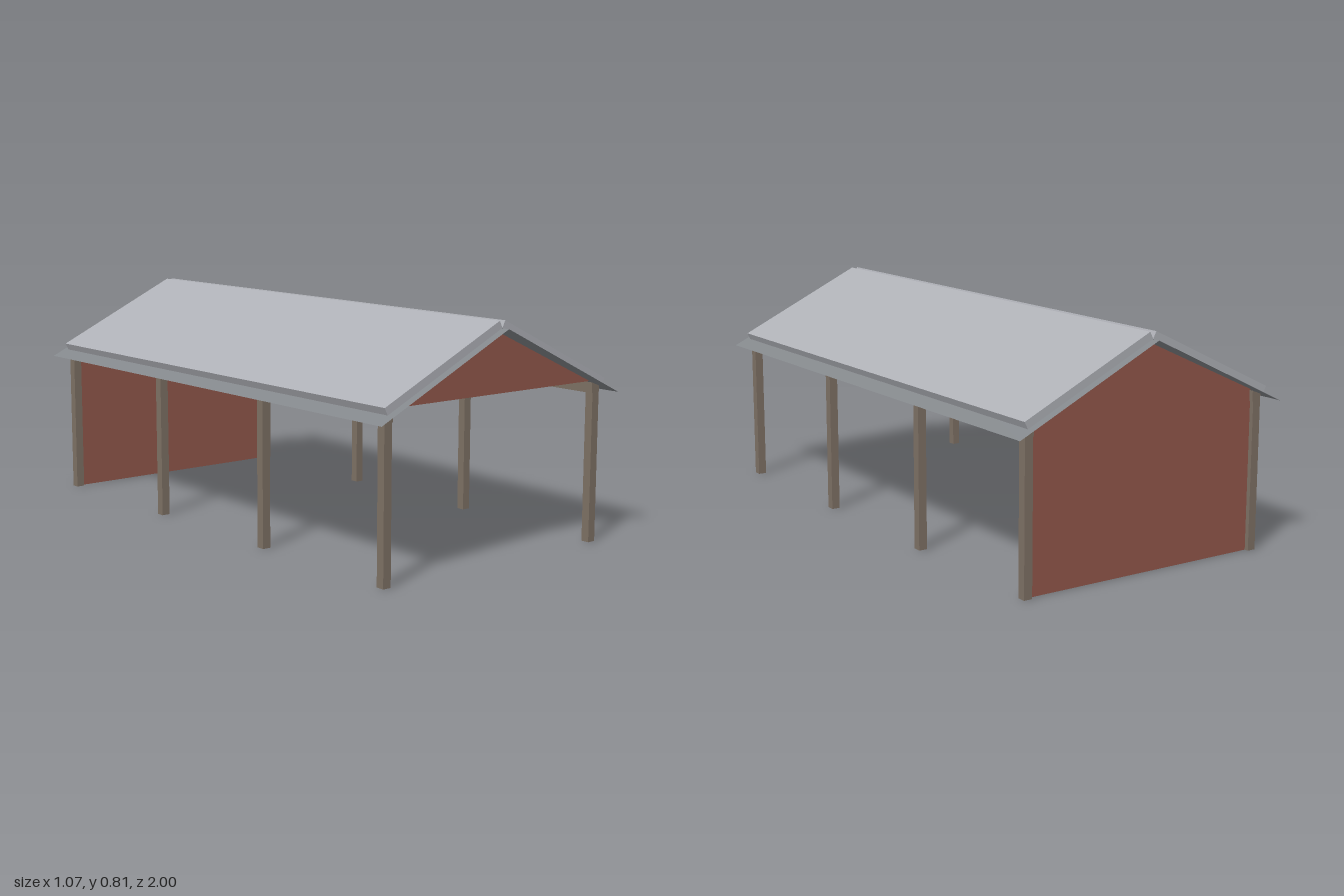
import * as THREE from 'three';

export function createModel() {
  const group = new THREE.Group();
  const mat = (color, side = THREE.FrontSide) =>
    new THREE.MeshStandardMaterial({ color, side });
  const timber = mat(0x7d7064);
  const panelGrey = mat(0xaeb0b6);
  const sheetGrey = mat(0x83878b, THREE.DoubleSide);
  const brickRed = mat(0x91574b, THREE.DoubleSide);

  const ridgeY = 0.783, slope = 0.4785;
  const roofY = (x) => ridgeY - slope * x;
  const postX = 0.47, endZ = 0.94, postSize = 0.031;

  const add = (name, geometry, material) => {
    const mesh = new THREE.Mesh(geometry, material);
    mesh.name = name;
    group.add(mesh);
    return mesh;
  };
  const outline = (points) => new THREE.Shape(points.map(([x, y]) => new THREE.Vector2(x, y)));
  // Cross-section in x/y, run along z and centred on z = 0
  const prism = (points, length) =>
    new THREE.ExtrudeGeometry(outline(points), { depth: length, bevelEnabled: false })
      .translate(0, 0, -length / 2);

  const angle = Math.atan(slope);
  const eaveX = 0.535, slabX = 0.485, slabThickness = 0.028;
  const nx = Math.sin(angle) * slabThickness, ny = Math.cos(angle) * slabThickness;
  const lift = 0.001;

  for (const s of [1, -1]) {
    const side = s > 0 ? 'left' : 'right';

    // Thin roof sheet, overhanging on all outer sides
    const sheet = add(`${side}RoofSheet`,
      new THREE.PlaneGeometry(eaveX / Math.cos(angle), 2).rotateX(-Math.PI / 2), sheetGrey);
    sheet.rotation.z = -s * angle;
    sheet.position.set(s * eaveX / 2, roofY(eaveX / 2), 0);

    // Thick roof panel lying on the sheet
    add(`${side}RoofPanel`, prism([
      [0, ridgeY + lift],
      [s * slabX, roofY(slabX) + lift],
      [s * (slabX + nx), roofY(slabX) + ny],
      [s * nx, ridgeY + ny],
    ], 1.94), panelGrey);

    // Eave beam with its top cut to the roof slope
    const inner = 0.451, outer = 0.486;
    add(`${side}EaveBeam`, prism([
      [s * inner, 0.525], [s * outer, 0.525],
      [s * outer, roofY(outer) - 0.002], [s * inner, roofY(inner) - 0.005],
    ], 2 * endZ + postSize), timber);

    // Four posts along each side
    for (let i = 0; i < 4; i++) {
      add(`${side}Post${i + 1}`, new THREE.BoxGeometry(postSize, 0.54, postSize), timber)
        .position.set(s * postX, 0.27, endZ - i * (2 * endZ / 3));
    }
  }

  // Gable triangles at both ends, full wall at the back only
  const wallX = 0.455, wallTop = 0.565;
  for (const [name, z] of [['frontGable', endZ], ['backGable', -endZ]]) {
    add(name, new THREE.ShapeGeometry(
      outline([[-wallX, wallTop], [wallX, wallTop], [0, 0.773]])), brickRed).position.z = z;
  }
  add('backWall', new THREE.PlaneGeometry(2 * wallX, wallTop), brickRed)
    .position.set(0, wallTop / 2, -endZ);

  return group;
}
